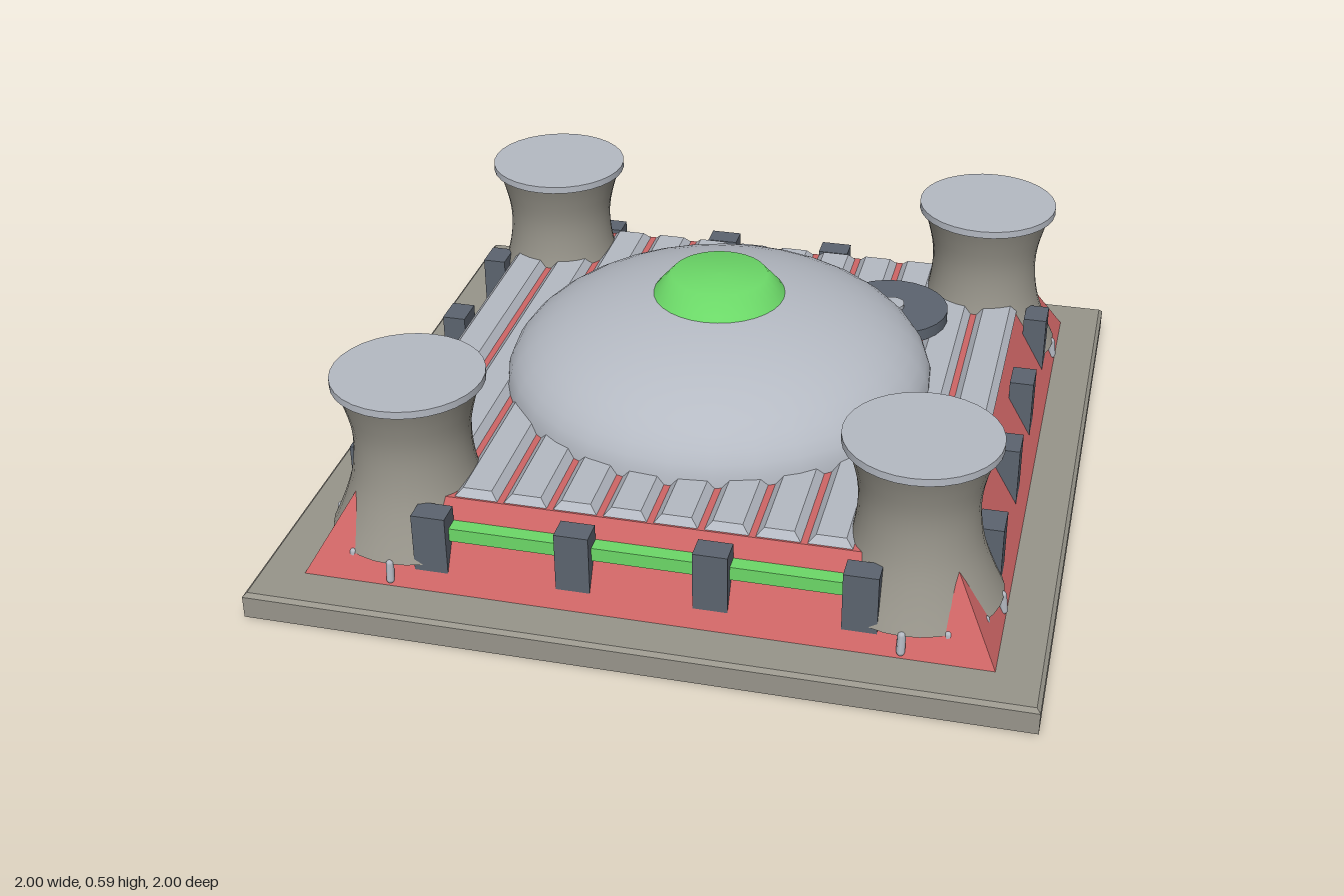
import * as THREE from 'three';
import { toCreasedNormals } from 'three/addons/utils/BufferGeometryUtils.js';

const material = (name, color) => {
  const m = new THREE.MeshStandardMaterial({ color });
  m.name = name;
  return m;
};

// Box whose upper face is a different size from its base; sits on y = 0
function taperedBox(w, d, h, topW, topD) {
  const flat = new THREE.BoxGeometry(w, h, d).toNonIndexed();
  const p = flat.attributes.position;
  for (let i = 0; i < p.count; i++) {
    if (p.getY(i) > 0) p.setXYZ(i, p.getX(i) * topW / w, p.getY(i), p.getZ(i) * topD / d);
  }
  flat.translate(0, h / 2, 0);
  flat.computeVertexNormals();
  return flat;
}

const lathe = (points, segments) =>
  new THREE.LatheGeometry(points.map(([r, y]) => new THREE.Vector2(r, y)), segments);

export function createModel() {
  const concrete = material('concrete', 0x98958b);
  const red = material('red wall', 0xcf6666);
  const metal = material('pale metal', 0xb5bac3);
  const dark = material('dark steel', 0x5c646f);
  const green = material('green glow', 0x6cd968);

  const model = new THREE.Group();
  const add = (name, geometry, mat, x = 0, y = 0, z = 0, parent = model) => {
    const mesh = new THREE.Mesh(geometry, mat);
    mesh.name = name;
    mesh.position.set(x, y, z);
    parent.add(mesh);
    return mesh;
  };

  // Ground slab with a small chamfer
  add('slab', taperedBox(2, 2, 0.06, 2, 2), concrete);
  add('slabChamfer', taperedBox(2, 2, 0.01, 1.98, 1.98), concrete, 0, 0.06);

  // Sloped building
  add('building', taperedBox(1.76, 1.76, 0.21, 1.52, 1.52), red, 0, 0.07);

  // Roof ribs running front to back
  const rib = taperedBox(0.112, 1.51, 0.02, 0.075, 1.48);
  for (let i = 0; i < 12; i++) add('roofRib', rib, metal, (i - 5.5) * 0.129, 0.28);

  // Central dome, a half ellipsoid
  const dome = [];
  for (let i = 0; i <= 14; i++) {
    const a = (i / 14) * Math.PI / 2;
    dome.push([0.585 * Math.cos(a), 0.28 + 0.265 * Math.sin(a)]);
  }
  add('dome', lathe(dome, 32), metal);

  // Glowing cap
  add('domeCap', lathe([[0.18, 0.53], [0.168, 0.545], [0.13, 0.588], [0, 0.59]], 32), green);

  // Wall buttresses on all four sides
  const buttress = new THREE.BoxGeometry(0.088, 0.17, 0.065);
  for (let side = 0; side < 4; side++) {
    const group = new THREE.Group();
    group.name = 'buttressRow';
    group.rotation.y = side * Math.PI / 2;
    model.add(group);
    for (const x of [-0.545, -0.175, 0.175, 0.545]) add('buttress', buttress, dark, x, 0.19, 0.823, group);
  }

  // Light strip on the front
  add('frontStrip', new THREE.BoxGeometry(1.06, 0.037, 0.04), green, 0, 0.214, 0.81);

  // Roof fan
  add('roofFan', new THREE.CylinderGeometry(0.16, 0.16, 0.035, 24), dark, 0.42, 0.317, -0.385);
  add('fanHub', new THREE.CylinderGeometry(0.035, 0.035, 0.025, 16), metal, 0.42, 0.333, -0.385);

  // Cooling towers: waisted shell, lid and a ring of short struts
  const waist = new THREE.SplineCurve([
    [0.222, 0.13], [0.19, 0.2], [0.163, 0.28], [0.151, 0.36], [0.153, 0.43], [0.169, 0.5], [0.186, 0.55],
  ].map(([r, y]) => new THREE.Vector2(r, y)));
  const shell = new THREE.LatheGeometry([new THREE.Vector2(0, 0.13), new THREE.Vector2(0.215, 0.13), ...waist.getPoints(16)], 32);
  const shellGeometry = toCreasedNormals(shell, 0.7);
  const lid = new THREE.CylinderGeometry(0.196, 0.196, 0.02, 32);
  const strut = new THREE.CapsuleGeometry(0.011, 0.045, 3, 8);
  for (const x of [-0.65, 0.65]) {
    for (const z of [-0.65, 0.65]) {
      const tower = new THREE.Group();
      tower.name = 'coolingTower';
      tower.position.set(x, 0, z);
      model.add(tower);
      add('towerShell', shellGeometry, concrete, 0, 0, 0, tower);
      add('towerLid', lid, metal, 0, 0.555, 0, tower);
      for (let i = 0; i < 12; i++) {
        const a = i * Math.PI / 6;
        const s = add('towerStrut', strut, metal, 0.22 * Math.sin(a), 0.107, 0.22 * Math.cos(a), tower);
        s.rotation.set(-0.12, a, 0, 'YXZ');
      }
    }
  }
  return model;
}
